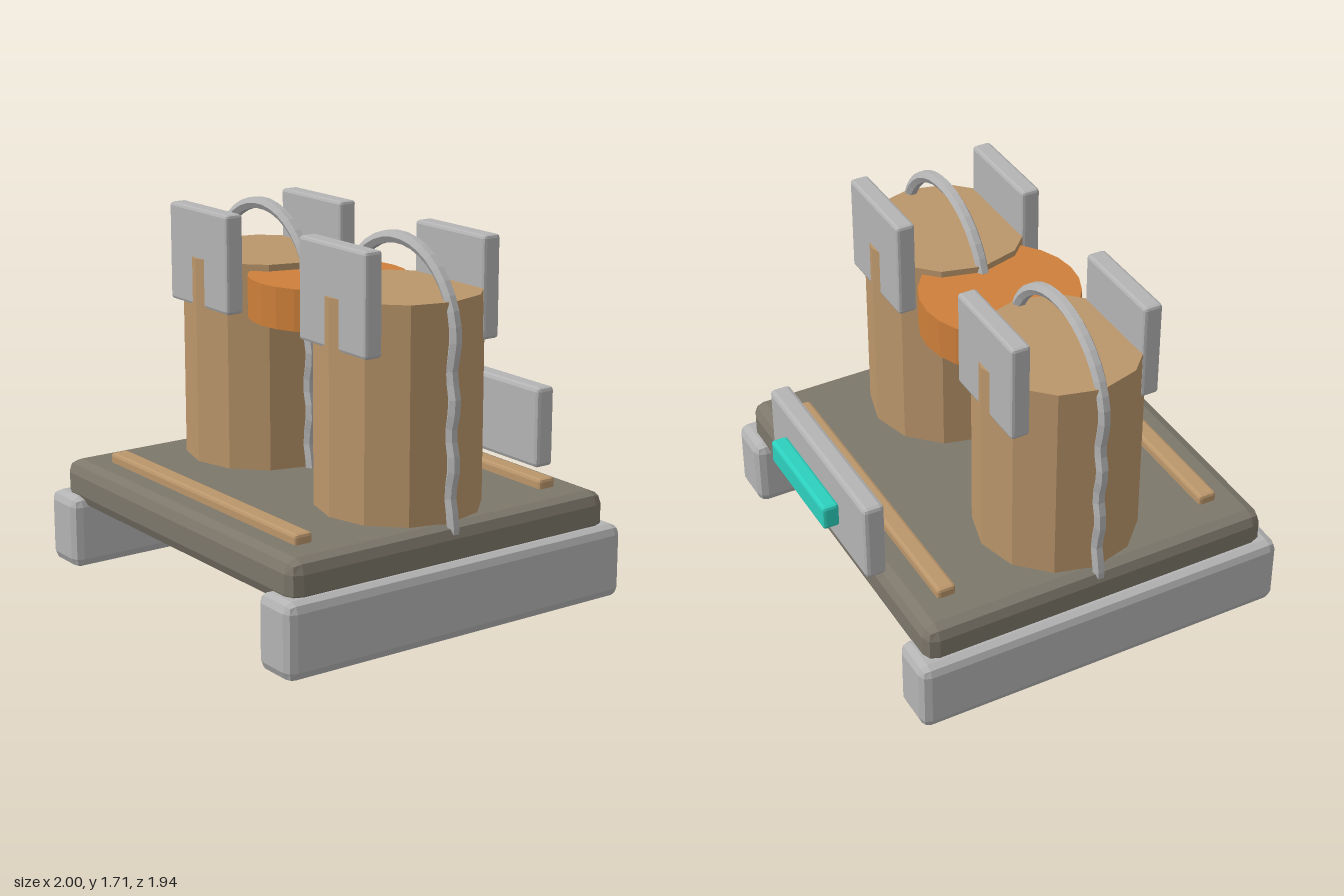
import * as THREE from 'three';
import { RoundedBoxGeometry } from 'three/addons/geometries/RoundedBoxGeometry.js';

const flat = (name, color) => {
  const m = new THREE.MeshStandardMaterial({ color, flatShading: true });
  m.name = name;
  return m;
};

const CZ = 0.055;   // depth centre of the main body
const DRUM_X = 0.525;

// Closed stadium loop whose straight sides are scalloped
function strapGeometry() {
  const r = 0.39, top = 1.3, bottom = 0.49, pts = [];
  const arcSteps = 10, sideSteps = 6;
  const arc = (cy, start) => {
    for (let i = 0; i <= arcSteps; i++) {
      const a = start + (Math.PI * i) / arcSteps;
      pts.push(new THREE.Vector3(Math.cos(a) * r, cy + Math.sin(a) * r, 0));
    }
  };
  const side = (sx, y0, y1) => {
    for (let i = 1; i < sideSteps; i++) {
      const x = i % 2 ? r - 0.025 : r;
      pts.push(new THREE.Vector3(sx * x, THREE.MathUtils.lerp(y0, y1, i / sideSteps), 0));
    }
  };
  arc(top, 0);
  side(-1, top, bottom);
  arc(bottom, Math.PI);
  side(1, bottom, top);
  return new THREE.TubeGeometry(new THREE.CatmullRomCurve3(pts, true), 64, 0.03, 6, true);
}

export function createModel() {
  const model = new THREE.Group();
  model.name = 'drumSled';
  const steel = flat('steel', 0xb4b4b4);
  const deckMat = flat('deckGrey', 0x7d776b);
  const wood = flat('wood', 0xbb966b);
  const copper = flat('copper', 0xcd7f3a);
  const teal = flat('teal', 0x2dd0be);

  const add = (name, geo, mat, x, y, z) => {
    const mesh = new THREE.Mesh(geo, mat);
    mesh.name = name;
    mesh.position.set(x, y, z);
    model.add(mesh);
    return mesh;
  };
  const box = (name, mat, w, h, d, r, x, y, z) =>
    add(name, new RoundedBoxGeometry(w, h, d, 1, r), mat, x, y, z);

  // Base
  box('deck', deckMat, 1.89, 0.21, 1.72, 0.06, 0, 0.395, CZ);
  for (const s of [-1, 1]) {
    box('skid', steel, 0.24, 0.345, 1.83, 0.045, s * 0.88, 0.1725, CZ);
    box('deckStrip', wood, 1.52, 0.07, 0.09, 0.015, 0, 0.51, CZ + s * 0.67);
  }

  // Twin drums, each with a strap and a pair of clamp plates
  const strap = strapGeometry();
  for (const s of [-1, 1]) {
    const x = s * DRUM_X;
    add('drum', new THREE.CylinderGeometry(0.375, 0.375, 1.19, 12), wood, x, 0.875, CZ);
    add('strap', strap, steel, x, 0, CZ);
    for (const f of [-1, 1]) {
      box('clampPlate', steel, 0.485, 0.46, 0.09, 0.015, x, 1.47, CZ + f * 0.3165);
    }
  }

  // Disc joining the drums
  add('linkDisc', new THREE.CylinderGeometry(0.365, 0.365, 0.19, 24), copper, 0, 1.345, CZ);

  // Rear panel and its light bar
  box('rearPanel', steel, 1.0, 0.385, 0.1, 0.02, 0, 0.69, -0.825);
  box('lightBar', teal, 0.56, 0.12, 0.08, 0.015, 0, 0.715, -0.932);

  return model;
}
